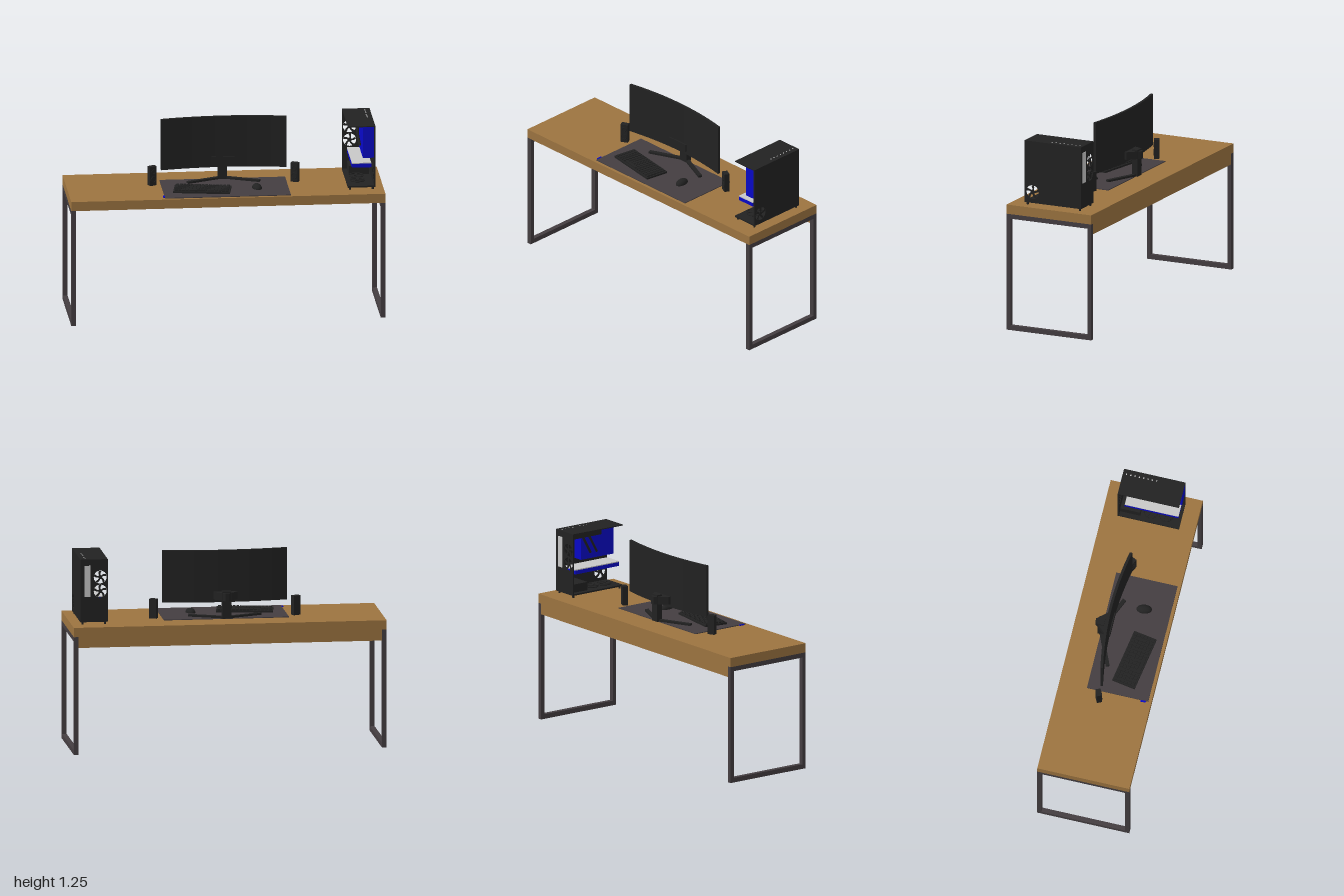
import * as THREE from 'three';

const mat = (name, color) => Object.assign(new THREE.MeshStandardMaterial({ color }), { name });

export function createModel() {
  const wood = mat('wood', 0x9c7440);
  const steel = mat('dark steel', 0x443e41);
  const black = mat('black plastic', 0x222222);
  const blue = mat('blue', 0x0808c8);
  const pale = mat('pale grey', 0xc8c8c8);

  const root = new THREE.Group();
  root.name = 'computerDesk';

  const group = (name, parent = root) => {
    const g = new THREE.Group();
    g.name = name;
    parent.add(g);
    return g;
  };
  const add = (parent, name, geo, material) => {
    const m = new THREE.Mesh(geo, material);
    m.name = name;
    parent.add(m);
    return m;
  };
  // Box given by its limits on each axis
  const box = (parent, name, material, [x0, x1], [y0, y1], [z0, z1]) => {
    const m = add(parent, name, new THREE.BoxGeometry(x1 - x0, y1 - y0, z1 - z0), material);
    m.position.set((x0 + x1) / 2, (y0 + y1) / 2, (z0 + z1) / 2);
    return m;
  };
  // Plan outline of [x, z] points raised from y0 by h
  const slab = (parent, name, material, pts, y0, h) => {
    const shape = new THREE.Shape(pts.map(([x, z]) => new THREE.Vector2(x, -z)));
    const geo = new THREE.ExtrudeGeometry(shape, { depth: h, bevelEnabled: false });
    geo.rotateX(-Math.PI / 2);
    const m = add(parent, name, geo, material);
    m.position.y = y0;
    return m;
  };
  // Upright panel with round fan openings
  const panel = (parent, name, u0, u1, v0, v1, holes, r) => {
    const shape = new THREE.Shape([[u0, v0], [u1, v0], [u1, v1], [u0, v1]].map(p => new THREE.Vector2(...p)));
    for (const [u, v] of holes) shape.holes.push(new THREE.Path().absarc(u, v, r, 0, Math.PI * 2, true));
    return add(parent, name, new THREE.ExtrudeGeometry(shape, { depth: 0.008, bevelEnabled: false, curveSegments: 16 }), black);
  };
  // Fan rotor: hub with five swept blades, facing z
  const fan = (parent, name, r) => {
    const g = group(name, parent);
    const hub = add(g, 'fanHub', new THREE.CylinderGeometry(r * 0.28, r * 0.28, 0.012, 16), black);
    hub.rotation.x = Math.PI / 2;
    const s = new THREE.Shape();
    s.moveTo(r * 0.2, -r * 0.1);
    s.quadraticCurveTo(r * 0.65, -r * 0.1, r * 0.95, r * 0.12);
    s.lineTo(r * 0.83, r * 0.48);
    s.quadraticCurveTo(r * 0.6, r * 0.15, r * 0.2, r * 0.13);
    const blade = new THREE.ExtrudeGeometry(s, { depth: 0.004, bevelEnabled: false, curveSegments: 5 });
    for (let i = 0; i < 5; i++) add(g, 'fanBlade', blade, black).rotation.z = i * Math.PI * 0.4;
    return g;
  };

  // Desk: top, rear board and two rectangular leg frames
  const desk = group('desk');
  box(desk, 'deskTop', wood, [-1, 1], [0.76, 0.82], [-0.3, 0.3]);
  box(desk, 'rearBoard', wood, [-0.97, 0.97], [0.69, 0.76], [-0.3, -0.27]);
  for (const s of [-1, 1]) {
    const f = group(s > 0 ? 'leftLegFrame' : 'rightLegFrame', desk);
    const xs = s > 0 ? [0.97, 1] : [-1, -0.97];
    for (const z of [-0.3, 0.273]) box(f, 'legPost', steel, xs, [0, 0.76], [z, z + 0.027]);
    for (const y of [0, 0.73]) box(f, 'legRail', steel, xs, [y, y + 0.03], [-0.273, 0.273]);
  }

  // Desk mat with a small side tag
  box(root, 'deskMat', steel, [-0.4, 0.4], [0.82, 0.825], [-0.12, 0.28]);
  box(root, 'matTag', blue, [-0.41, -0.4], [0.82, 0.826], [0.23, 0.265]);

  // Curved monitor
  const monitor = group('monitor');
  const curve = (x, z0) => [x, z0 + 0.25 * x * x];
  const xs = Array.from({ length: 17 }, (_, i) => -0.4 + i * 0.05);
  const outline = [...xs.map(x => curve(x, -0.055)), ...xs.map(x => curve(-x, -0.072))];
  slab(monitor, 'screenBody', black, outline, 0.92, 0.335);

  // Monitor stand
  slab(monitor, 'standHead', black,
    [[-0.075, -0.048], [0.075, -0.048], [0.075, -0.085], [0.025, -0.14], [0.012, -0.158],
      [-0.012, -0.158], [-0.025, -0.14], [-0.075, -0.085]], 0.94, 0.05);
  box(monitor, 'standColumn', black, [-0.028, 0.028], [0.825, 1.0], [-0.14, -0.1]);
  for (const s of [-1, 1]) {
    const leg = add(monitor, 'standFoot', new THREE.BoxGeometry(0.25, 0.013, 0.025), black);
    leg.position.set(s * 0.115, 0.832, -0.075);
    leg.rotation.y = -s * 0.41;
  }

  // Pair of speakers turned towards the user
  for (const s of [-1, 1]) {
    const sp = group('speaker');
    sp.position.set(s * 0.455, 0.82, -0.03);
    sp.rotation.y = -s * 0.45;
    box(sp, 'speakerBox', black, [-0.024, 0.024], [0, 0.125], [-0.017, 0.017]);
    for (const [y, r] of [[0.04, 0.018], [0.09, 0.013]]) {
      const cone = add(sp, 'speakerCone', new THREE.TorusGeometry(r, 0.003, 6, 20), black);
      cone.position.set(0, y, 0.017);
    }
  }

  // Keyboard
  const keyboard = group('keyboard');
  keyboard.position.set(-0.15, 0.825, 0.13);
  keyboard.rotation.y = -0.165;
  box(keyboard, 'keyboardBase', black, [-0.18, 0.18], [0, 0.012], [-0.077, 0.077]);
  const key = new THREE.BoxGeometry(0.018, 0.008, 0.018);
  for (let r = 0; r < 6; r++) {
    for (let c = 0; c < 15; c++) {
      if (r === 5 && c > 3 && c < 9) continue;
      add(keyboard, 'key', key, black).position.set(-0.161 + c * 0.023, 0.016, -0.058 + r * 0.0232);
    }
  }
  box(keyboard, 'spaceBar', black, [-0.078, 0.032], [0.012, 0.02], [0.049, 0.067]);

  // Mouse: upper half of an ellipsoid
  const mouse = add(root, 'mouse', new THREE.SphereGeometry(1, 20, 8, 0, Math.PI * 2, 0, Math.PI / 2), black);
  mouse.scale.set(0.03, 0.028, 0.05);
  mouse.position.set(0.2, 0.825, 0.11);
  mouse.rotation.y = 0.15;

  // Computer case, open at the front and on its inner side
  const pc = group('computer');
  const rearFans = [[0.818, 1.125], [0.818, 1.035]];
  panel(pc, 'caseBack', 0.77, 0.945, 0.84, 1.24, rearFans, 0.042).position.z = -0.2;
  const side = panel(pc, 'caseSide', -0.2, 0.2, 0.84, 1.24, [[-0.145, 0.907]], 0.045);
  side.rotation.y = Math.PI / 2;
  side.position.x = 0.937;
  box(pc, 'caseTop', black, [0.77, 0.945], [1.234, 1.24], [-0.2, 0.2]);
  box(pc, 'topRadiator', black, [0.785, 0.865], [1.2, 1.234], [-0.19, 0.04]);
  box(pc, 'caseFloor', black, [0.77, 0.945], [0.836, 0.846], [-0.2, 0.2]);
  for (const x of [0.785, 0.93]) {
    for (const z of [-0.185, 0.185]) {
      const foot = add(pc, 'caseFoot', new THREE.CylinderGeometry(0.007, 0.007, 0.018, 10), black);
      foot.position.set(x, 0.828, z);
    }
  }
  // Vent slots in the top
  for (let i = 0; i < 8; i++) {
    const z = -0.18 + i * 0.028;
    box(pc, 'ventSlot', pale, [0.908, 0.916], [1.24, 1.2405], [z, z + 0.008]);
  }
  // Rear connector plate
  box(pc, 'connectorPlate', pale, [0.88, 0.92], [1.0, 1.2], [-0.203, -0.199]);
  // Fans in the back and the side
  for (const [x, y] of rearFans) fan(pc, 'rearFan', 0.042).position.set(x, y, -0.197);
  const sideFan = fan(pc, 'sideFan', 0.045);
  sideFan.rotation.y = Math.PI / 2;
  sideFan.position.set(0.939, 0.907, 0.145);

  // Inside: blue block with slanted tubes, graphics card, floor parts
  box(pc, 'mainBlock', blue, [0.866, 0.937], [1.03, 1.234], [-0.06, 0.198]);
  for (const z of [-0.02, 0.03]) {
    const path = new THREE.CatmullRomCurve3([
      new THREE.Vector3(0.86, 1.21, z - 0.05),
      new THREE.Vector3(0.85, 1.15, z - 0.02),
      new THREE.Vector3(0.86, 1.07, z + 0.03)]);
    add(pc, 'coolingTube', new THREE.TubeGeometry(path, 10, 0.008, 8), black);
  }
  box(pc, 'graphicsCard', blue, [0.797, 0.92], [0.965, 0.99], [-0.16, 0.19]);
  box(pc, 'cardCover', pale, [0.797, 0.92], [0.99, 0.996], [-0.16, 0.19]);
  box(pc, 'powerSupply', black, [0.8, 0.93], [0.846, 0.9], [-0.19, -0.06]);
  for (const z of [0.0, 0.1]) {
    const f = fan(pc, 'floorFan', 0.045);
    f.rotation.x = -Math.PI / 2;
    f.position.set(0.84, 0.858, z);
    const ring = add(pc, 'floorFanRing', new THREE.TorusGeometry(0.046, 0.004, 6, 20), black);
    ring.rotation.x = Math.PI / 2;
    ring.position.set(0.84, 0.858, z);
  }
  return root;
}
